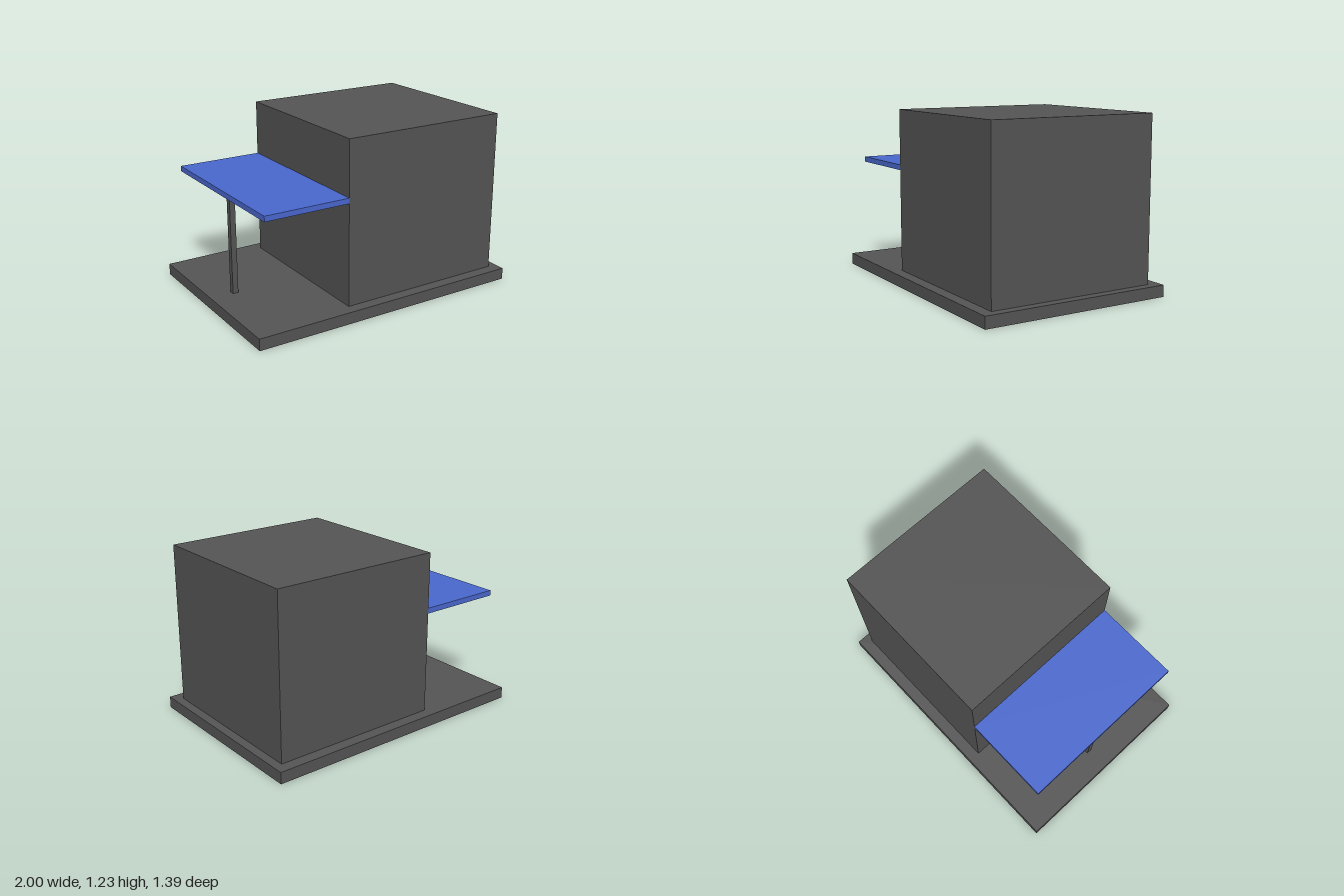
import * as THREE from 'three';

// Box given by its lower and upper corner
function block(name, min, max, material) {
  const size = max.map((v, i) => v - min[i]);
  const mesh = new THREE.Mesh(new THREE.BoxGeometry(...size), material);
  mesh.position.set(...min.map((v, i) => (v + max[i]) / 2));
  mesh.name = name;
  return mesh;
}

export function createModel() {
  const group = new THREE.Group();
  group.name = 'houseWithCanopy';
  const grey = new THREE.MeshStandardMaterial({ color: 0x555555 });
  const blue = new THREE.MeshStandardMaterial({ color: 0x4a69d0 });

  const baseTop = 0.082, canopyBottom = 0.8, wallX = -0.288, depth = 0.612;

  group.add(
    // ground slab
    block('base', [-1, 0, -0.694], [1, baseTop, 0.694], grey),
    // main building
    block('building', [wallX, baseTop, -depth], [0.936, 1.226, depth], grey),
    // side canopy on a single central post
    block('canopy', [-0.9, canopyBottom, -depth], [wallX, 0.838, depth], blue),
    block('canopyPost', [-0.839, baseTop, -0.02], [-0.799, canopyBottom, 0.02], grey),
  );
  return group;
}
